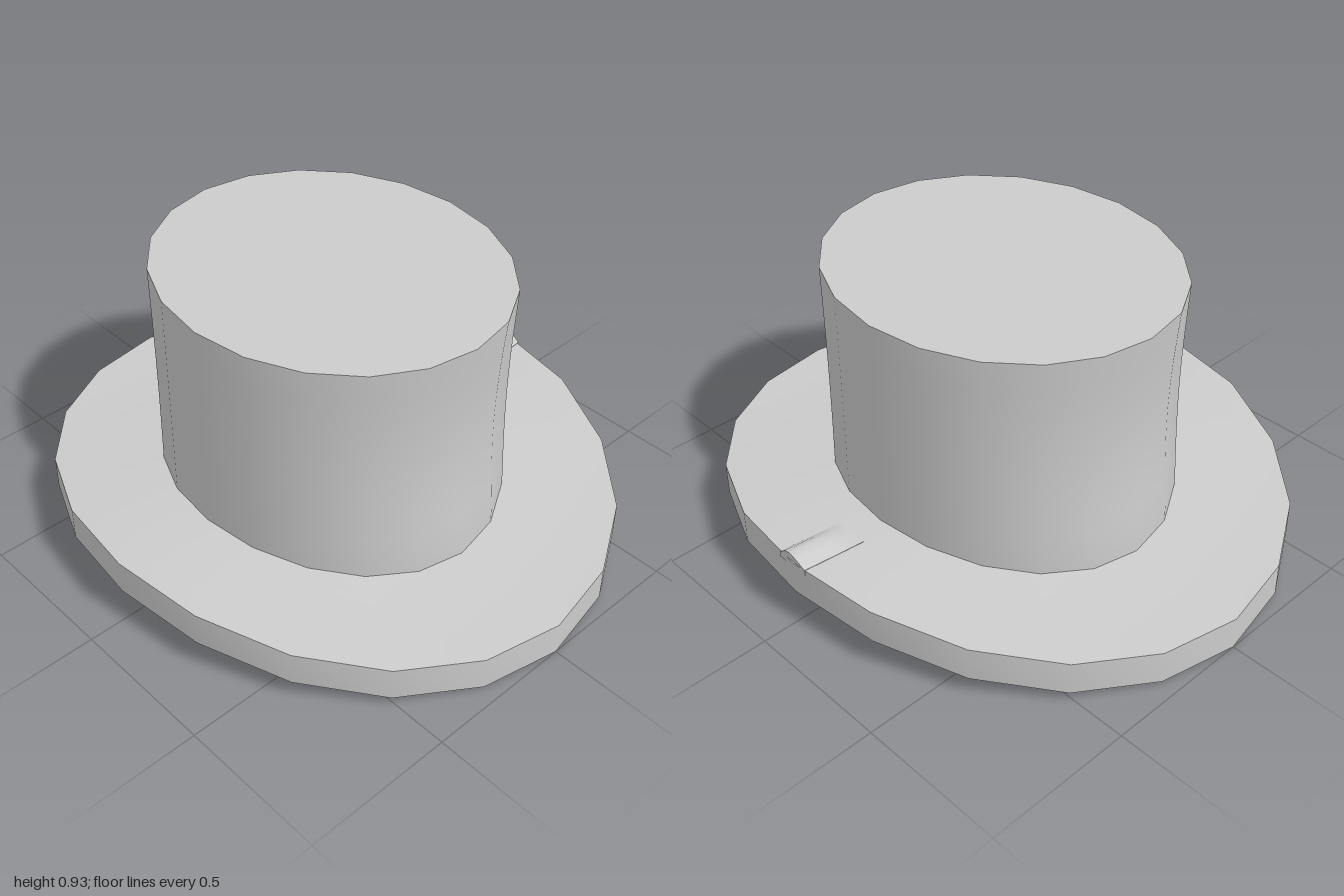
import * as THREE from 'three';
import { toCreasedNormals } from 'three/addons/utils/BufferGeometryUtils.js';

const SIDES = 20;
const BRIM = { rx: 0.87, rz: 1.0, thick: 0.115 };
const CROWN = { rx: 0.53, rz: 0.605, base: 0.1, top: 0.925 };

// Height of the brim's underside: arched along z, turned up at the sides
function brimRise(x, z) {
  const arch = 0.055 * Math.cos((Math.PI / 2) * z) ** 2;
  return arch + 0.065 * Math.min(1, Math.abs(x) / BRIM.rx) ** 1.5;
}

// Move every vertex by a rule, then smooth all but the sharp edges
function deform(geometry, rule) {
  const pos = geometry.attributes.position;
  const v = new THREE.Vector3();
  for (let i = 0; i < pos.count; i++) {
    rule(v.fromBufferAttribute(pos, i));
    pos.setXYZ(i, v.x, v.y, v.z);
  }
  return toCreasedNormals(geometry, 0.6);
}

export function createModel() {
  const hat = new THREE.Group();
  hat.name = 'topHat';
  const material = new THREE.MeshStandardMaterial({ color: 0xcccccc });

  const addPart = (name, geometry) => {
    const mesh = new THREE.Mesh(geometry, material);
    mesh.name = name;
    hat.add(mesh);
  };

  // Brim: a thick oval disc with rings on both faces, bent by brimRise
  const rings = 10;
  const disc = [];
  for (let i = 0; i <= rings; i++) disc.push(new THREE.Vector2(i / rings, 0));
  for (let i = rings; i >= 0; i--) disc.push(new THREE.Vector2(i / rings, BRIM.thick));
  addPart('brim', deform(new THREE.LatheGeometry(disc, SIDES), (v) => {
    v.x *= BRIM.rx;
    v.z *= BRIM.rz;
    v.y += brimRise(v.x, v.z);
  }));

  // Crown: an oval tube with a flat lid, slightly pinched at front and back
  const wall = [];
  const steps = 9;
  for (let i = 0; i <= steps; i++) {
    wall.push(new THREE.Vector2(1, THREE.MathUtils.lerp(CROWN.base, CROWN.top, i / steps)));
  }
  wall.push(new THREE.Vector2(0, CROWN.top));
  addPart('crown', deform(new THREE.LatheGeometry(wall, SIDES), (v) => {
    const t = THREE.MathUtils.clamp((v.y - 0.18) / (CROWN.top - 0.18), 0, 1);
    const pinch = 0.045 * Math.sin(Math.PI * t) * v.z * v.z;
    v.x *= CROWN.rx;
    v.z *= CROWN.rz * (1 - pinch);
  }));

  // Small fold running out to the edge of the brim on the left side
  const x0 = 0.64, x1 = 0.865;
  const section = new THREE.Shape([
    [-0.07, -0.02], [0.05, -0.02], [0.05, 0], [0.01, 0.016], [-0.02, 0.025], [-0.045, 0.018], [-0.07, 0],
  ].map(([x, y]) => new THREE.Vector2(x, y)));
  const fold = new THREE.ExtrudeGeometry(section, { depth: x1 - x0, steps: 6, bevelEnabled: false });
  fold.rotateY(Math.PI / 2);
  fold.translate(x0, 0, 0);
  addPart('brimFold', deform(fold, (v) => {
    if (v.y > 0) v.y *= Math.min(1, (v.x - x0) / 0.12);
    v.y += BRIM.thick + brimRise(v.x, v.z);
  }));

  return hat;
}
